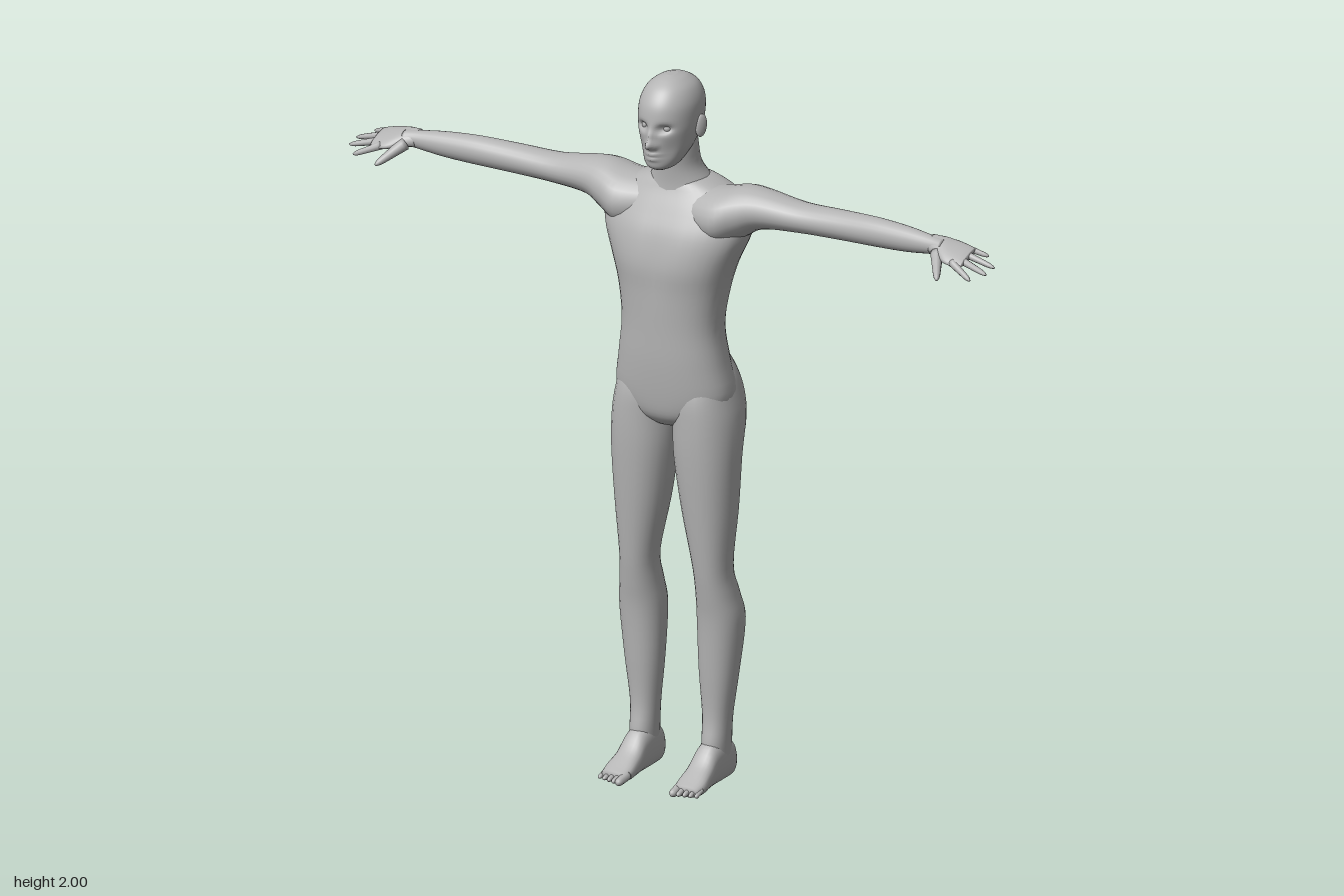
import * as THREE from 'three';

const skin = new THREE.MeshStandardMaterial({ color: 0xb4b4b4 });
skin.name = 'skin grey';

// Catmull-Rom blend of whole section rows
function blendRows(rows, steps) {
  const out = [];
  const at = i => rows[Math.min(rows.length - 1, Math.max(0, i))];
  for (let i = 0; i < rows.length - 1; i++) {
    for (let s = 0; s < steps; s++) {
      const t = s / steps, a = at(i - 1), b = at(i), c = at(i + 1), d = at(i + 2);
      out.push(b.map((v, k) => v + 0.5 * t * (c[k] - a[k] +
        t * (2 * a[k] - 5 * v + 4 * c[k] - d[k] + t * (3 * (v - c[k]) + d[k] - a[k])))));
    }
  }
  out.push(rows[rows.length - 1]);
  return out;
}

// Closed loft of oval sections. Row: [position on axis, minA, maxA, minB, maxB].
// (A, B) is (y, z) for axis x, (z, x) for axis y and (x, y) for axis z.
function loft(axis, rows, { n = 24, steps = 4, power = 2, warp = null } = {}) {
  const k = 'xyz'.indexOf(axis), pos = [], idx = [];
  const put = (t, a, b) => {
    const p = [0, 0, 0];
    p[k] = t; p[(k + 1) % 3] = a; p[(k + 2) % 3] = b;
    const v = new THREE.Vector3(...p);
    if (warp) warp(v);
    pos.push(v.x, v.y, v.z);
  };
  const round = v => Math.sign(v) * Math.abs(v) ** (2 / power);
  const rings = blendRows(rows, steps), m = rings.length;
  for (const [t, a0, a1, b0, b1] of rings) {
    for (let j = 0; j < n; j++) {
      const w = j / n * Math.PI * 2;
      put(t, (a0 + a1) / 2 + (a1 - a0) / 2 * round(Math.cos(w)),
        (b0 + b1) / 2 + (b1 - b0) / 2 * round(Math.sin(w)));
    }
  }
  for (const r of [rings[0], rings[m - 1]]) put(r[0], (r[1] + r[2]) / 2, (r[3] + r[4]) / 2);
  for (let j = 0; j < n; j++) {
    const q = (j + 1) % n, last = (m - 1) * n;
    for (let i = 0; i < m - 1; i++) {
      const o = i * n;
      idx.push(o + j, o + q, o + n + q, o + j, o + n + q, o + n + j);
    }
    idx.push(m * n, q, j, m * n + 1, last + j, last + q);
  }
  const g = new THREE.BufferGeometry();
  g.setAttribute('position', new THREE.Float32BufferAttribute(pos, 3));
  g.setIndex(idx);
  g.computeVertexNormals();
  return g;
}

// Tapered digit with a rounded tip between two points
function digit(from, to, r0, r1) {
  const a = new THREE.Vector3(...from), d = new THREE.Vector3(...to).sub(a), L = d.length();
  const row = (t, r) => [t * L, -r, r, -r, r];
  const g = loft('y', [row(0, r0), row(0.45, (r0 + r1) / 2), row(0.85, r1), row(1, r1 * 0.35)], { n: 10, steps: 3 });
  g.applyQuaternion(new THREE.Quaternion().setFromUnitVectors(new THREE.Vector3(0, 1, 0), d.normalize()));
  return g.translate(a.x, a.y, a.z);
}

// Copy on the other side, with the corner order turned round
function mirrored(g) {
  const m = g.clone().scale(-1, 1, 1), ix = m.index.array;
  for (let i = 0; i < ix.length; i += 3) [ix[i], ix[i + 1]] = [ix[i + 1], ix[i]];
  m.computeVertexNormals();
  return m;
}

const bump = (v, x, y, sx, sy) => Math.exp(-(((v.x - x) / sx) ** 2) - ((v.y - y) / sy) ** 2);

export function createModel() {
  const body = new THREE.Group();
  body.name = 'humanFigure';
  const add = (name, g) => {
    const mesh = new THREE.Mesh(g, skin);
    mesh.name = name;
    body.add(mesh);
  };
  const pair = (name, g) => {
    add(name + 'Left', g);
    add(name + 'Right', mirrored(g));
  };
  // symmetric section across x
  const sym = ([y, z0, z1, w]) => [y, z0, z1, -w, w];

  // Torso with a shallow spine furrow and chest line
  add('torso', loft('y', [
    [1.015, -0.07, 0.045, 0.05], [1.045, -0.115, 0.072, 0.13], [1.1, -0.128, 0.085, 0.172],
    [1.2, -0.112, 0.095, 0.158], [1.3, -0.103, 0.098, 0.145], [1.4, -0.12, 0.102, 0.157],
    [1.48, -0.133, 0.106, 0.18], [1.56, -0.146, 0.09, 0.213], [1.62, -0.148, 0.062, 0.215],
    [1.67, -0.135, 0.035, 0.165], [1.7, -0.115, 0.02, 0.1], [1.71, -0.09, 0, 0.06],
  ].map(sym), {
    n: 40, power: 2.3,
    warp: v => {
      if (v.z < -0.03) v.z += 0.018 * bump(v, 0, 1.5, 0.025, 0.2) + 0.02 * bump(v, 0, 1.07, 0.02, 0.06);
      else if (v.z > 0.03) v.z -= 0.006 * bump(v, 0, 1.5, 0.025, 0.1);
    },
  }));

  // Neck
  add('neck', loft('y', [
    [1.64, -0.13, 0.035, 0.12], [1.69, -0.122, 0.032, 0.09], [1.74, -0.092, 0.036, 0.064],
    [1.8, -0.077, 0.045, 0.06], [1.86, -0.07, 0.04, 0.055],
  ].map(sym)));

  // Head with eye sockets, nose, lips and chin
  add('head', loft('y', [
    [1.75, 0.035, 0.088, 0.02], [1.763, 0, 0.104, 0.042], [1.8, -0.045, 0.11, 0.063],
    [1.84, -0.082, 0.113, 0.074], [1.88, -0.1, 0.115, 0.08], [1.93, -0.101, 0.108, 0.079],
    [1.968, -0.082, 0.084, 0.064], [1.99, -0.05, 0.052, 0.038], [1.999, -0.015, 0.022, 0.012],
  ].map(sym), {
    n: 64, steps: 8, power: 2.1,
    warp: v => {
      if (v.z < 0.04) return;
      for (const s of [-1, 1]) {
        v.z -= 0.02 * bump(v, 0.033 * s, 1.873, 0.017, 0.011);
        v.z -= 0.008 * bump(v, 0.045 * s, 1.81, 0.02, 0.03);
        v.z += 0.006 * bump(v, 0.014 * s, 1.824, 0.006, 0.008);
      }
      v.z += 0.027 * bump(v, 0, 1.828, 0.011, 0.012) + 0.014 * bump(v, 0, 1.85, 0.009, 0.022);
      v.z += 0.008 * bump(v, 0, 1.799, 0.02, 0.005) + 0.007 * bump(v, 0, 1.786, 0.018, 0.005);
      v.z -= 0.004 * bump(v, 0, 1.793, 0.02, 0.003);
    },
  }));
  pair('eye', new THREE.SphereGeometry(0.012, 16, 10).translate(0.033, 1.873, 0.083));
  pair('ear', new THREE.SphereGeometry(1, 16, 12).scale(0.008, 0.032, 0.019)
    .rotateY(-0.35).rotateX(-0.15).translate(0.083, 1.862, -0.008));

  // Arm from inside the chest out to the wrist
  pair('arm', loft('x', [
    [0.07, 1.55, 1.685, -0.125, 0.045], [0.15, 1.535, 1.695, -0.132, 0.068],
    [0.21, 1.565, 1.708, -0.118, 0.05], [0.27, 1.597, 1.705, -0.102, 0.03],
    [0.38, 1.605, 1.688, -0.092, 0.01], [0.5, 1.609, 1.69, -0.082, 0.006],
    [0.62, 1.614, 1.694, -0.066, 0.01], [0.72, 1.62, 1.69, -0.052, 0.011],
    [0.8, 1.631, 1.682, -0.036, 0.011], [0.84, 1.636, 1.678, -0.032, 0.016],
  ]));

  // Hand, tilted so that the thumb side hangs lower
  const tilt = z => -0.35 * z;
  pair('palm', loft('x', [
    [0.8, 1.635, 1.678, -0.034, 0.01], [0.835, 1.636, 1.675, -0.04, 0.025],
    [0.87, 1.637, 1.668, -0.043, 0.044], [0.905, 1.635, 1.66, -0.041, 0.044],
    [0.922, 1.638, 1.654, -0.036, 0.038],
  ], { n: 20, warp: v => { v.y += tilt(v.z); } }));
  const fingers = [
    ['littleFinger', 0.905, -0.034, 0.958, -0.046, 1.642, 0.0085],
    ['ringFinger', 0.91, -0.012, 0.995, -0.013, 1.626, 0.0095],
    ['middleFinger', 0.91, 0.012, 0.993, 0.027, 1.618, 0.01],
    ['indexFinger', 0.905, 0.033, 0.962, 0.06, 1.606, 0.01],
  ];
  for (const [name, x0, z0, x1, z1, y1, r] of fingers) {
    pair(name, digit([x0 - 0.015, 1.648 + tilt(z0), z0], [x1, y1, z1], r * 1.15, r * 0.7));
  }
  pair('thumb', digit([0.83, 1.646, 0.012], [0.876, 1.6, 0.088], 0.018, 0.009));

  // Leg with buttock, thigh, knee and calf
  pair('leg', loft('y', [
    [0.05, -0.092, 0.005, 0.078, 0.145], [0.11, -0.09, 0.01, 0.076, 0.148],
    [0.19, -0.09, 0.0, 0.073, 0.152], [0.32, -0.102, 0.008, 0.062, 0.17],
    [0.46, -0.116, 0.018, 0.058, 0.184], [0.54, -0.098, 0.03, 0.063, 0.174],
    [0.62, -0.077, 0.042, 0.062, 0.166], [0.78, -0.098, 0.06, 0.03, 0.179],
    [0.93, -0.112, 0.073, 0.008, 0.187], [1.03, -0.142, 0.077, 0.003, 0.186],
    [1.1, -0.148, 0.075, 0.004, 0.174], [1.16, -0.128, 0.06, 0.015, 0.158],
    [1.22, -0.095, 0.04, 0.04, 0.13],
  ], { n: 28, power: 2.15 }));

  // Foot with a flat sole and five toes
  pair('foot', loft('z', [
    [-0.107, 0.095, 0.128, 0.015, 0.06], [-0.092, 0.08, 0.143, 0.003, 0.105],
    [-0.04, 0.075, 0.147, 0, 0.13], [0.01, 0.074, 0.148, 0, 0.115],
    [0.05, 0.072, 0.151, 0, 0.075], [0.09, 0.07, 0.156, 0, 0.05], [0.122, 0.075, 0.15, 0.004, 0.033],
  ], { power: 2.4 }));
  for (let i = 0; i < 5; i++) {
    const x = 0.083 + i * 0.0165, r = i ? 0.0085 - i * 0.0004 : 0.0125;
    pair('toe' + (i + 1), digit([x, 0.022, 0.1], [x + 0.002, 0.012, 0.149 - i * 0.004], r * 1.1, r * 0.85));
  }
  return body;
}
